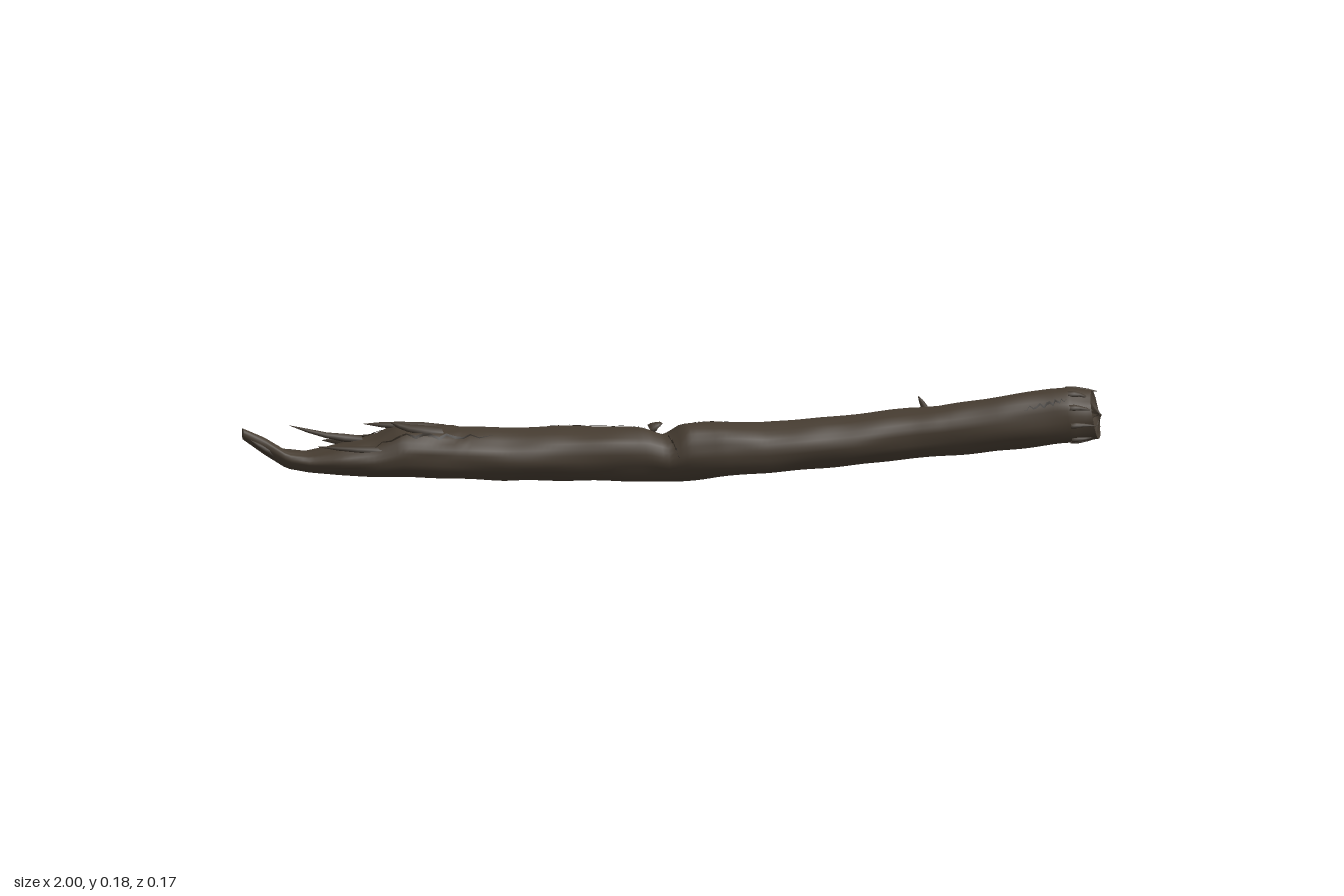
import * as THREE from 'three';

// Log stations along x: [x, bottom y, top y, back z, front z]
const STATIONS = [
  [-1.0, 0.165, 0.19, -0.005, 0.012], [-0.95, 0.125, 0.165, -0.02, 0.015],
  [-0.9, 0.092, 0.132, -0.015, 0.03], [-0.85, 0.08, 0.125, -0.035, 0.04],
  [-0.78, 0.07, 0.135, -0.055, 0.055], [-0.7, 0.06, 0.145, -0.082, 0.062],
  [-0.64, 0.053, 0.168, -0.085, 0.064], [-0.56, 0.046, 0.16, -0.085, 0.068],
  [-0.4, 0.03, 0.147, -0.08, 0.07], [-0.2, 0.018, 0.14, -0.073, 0.07],
  [-0.07, 0.011, 0.134, -0.057, 0.07], [-0.02, 0.008, 0.114, -0.054, 0.072],
  [0.02, 0.009, 0.138, -0.052, 0.079], [0.1, 0.012, 0.138, -0.052, 0.083],
  [0.2, 0.013, 0.126, -0.052, 0.083], [0.4, 0.018, 0.131, -0.054, 0.078],
  [0.55, 0.024, 0.138, -0.058, 0.07], [0.62, 0.027, 0.14, -0.048, 0.07],
  [0.75, 0.032, 0.155, -0.042, 0.075], [0.88, 0.037, 0.166, -0.036, 0.076],
  [0.94, 0.039, 0.165, -0.035, 0.077], [1.007, 0.044, 0.155, -0.037, 0.072],
];
const RINGS = 150, SIDES = 28;

function station(x) {
  let i = 0;
  while (i < STATIONS.length - 2 && STATIONS[i + 1][0] < x) i++;
  const a = STATIONS[i], b = STATIONS[i + 1];
  const t = THREE.MathUtils.clamp((x - a[0]) / (b[0] - a[0]), 0, 1);
  return a.map((v, k) => v + (b[k] - v) * t);
}

// Point on the bark; angle 0 is the top, PI / 2 the front
function surface(x, a, scale = 1, lift = 0) {
  const [, lo, hi, back, front] = station(x);
  const rough = 0.025 * Math.sin(3 * a + 9 * x) + 0.018 * Math.sin(5 * a - 17 * x)
    + 0.014 * Math.sin(2 * a + 41 * x) + 0.012 * Math.sin(9 * a + 6 * x);
  const torn = x < -0.5 ? 0.05 * Math.sin(11 * a + 30 * x) * Math.max(0, Math.cos(a)) : 0;
  const r = scale * (1 + rough + torn);
  const w = THREE.MathUtils.smoothstep(x, 0.85, 1);
  // the sawn end leans back towards the top and front
  const dx = -w * scale * (0.018 * (1 + Math.sin(a)) + 0.01 * (1 + Math.cos(a)));
  return new THREE.Vector3(
    x + dx,
    (lo + hi) / 2 + ((hi - lo) / 2 * r + lift) * Math.cos(a),
    (back + front) / 2 + ((front - back) / 2 * r + lift) * Math.sin(a));
}

function geometry(points, index) {
  const g = new THREE.BufferGeometry().setFromPoints(points);
  g.setIndex(index);
  g.computeVertexNormals();
  return g;
}

// Closed rings of points joined by quads
function loft(rings) {
  const n = rings[0].length, index = [];
  for (let i = 0; i < rings.length - 1; i++) {
    for (let j = 0; j < n; j++) {
      const k = (j + 1) % n, a = i * n, b = a + n;
      index.push(a + j, a + k, b + j, a + k, b + k, b + j);
    }
  }
  return geometry(rings.flat(), index);
}

function ring(x, scale = 1, push = 0) {
  return Array.from({ length: SIDES }, (_, j) => {
    const p = surface(x, j / SIDES * Math.PI * 2, scale);
    p.x += push * (1 + 0.5 * Math.sin(j * 1.9));
    return p;
  });
}

// Flattened, bent, pointed splinter
function shard(from, mid, to, wide, thick) {
  const curve = new THREE.CatmullRomCurve3([from, mid, to].map(p => new THREE.Vector3(...p)));
  const rings = [0, 0.25, 0.5, 0.75, 1].map((t, i) => {
    const c = curve.getPoint(t), dir = curve.getTangent(t);
    const side = new THREE.Vector3(0, 0, 1).cross(dir).normalize();
    const up = dir.clone().cross(side);
    const s = [1, 1.05, 0.75, 0.5, 0.04][i];
    return Array.from({ length: 6 }, (_, j) => {
      const a = j / 6 * Math.PI * 2;
      return c.clone().addScaledVector(side, Math.cos(a) * thick * s)
        .addScaledVector(up, Math.sin(a) * wide * s);
    });
  });
  return loft(rings);
}

// Thin dark ribbon that follows the bark
function crack(x0, x1, a0, a1, width) {
  const pts = [], index = [], n = 16;
  for (let i = 0; i <= n; i++) {
    const t = i / n, x = x0 + (x1 - x0) * t;
    const a = a0 + (a1 - a0) * t + 0.09 * Math.sin(i * 2.3);
    const w = width * Math.sin(Math.PI * t);
    pts.push(surface(x, a - w, 1, 0.0015), surface(x, a + w, 1, 0.0015));
    if (i < n) index.push(2 * i, 2 * i + 1, 2 * i + 2, 2 * i + 1, 2 * i + 3, 2 * i + 2);
  }
  return geometry(pts, index);
}

export function createModel() {
  const group = new THREE.Group();
  const bark = new THREE.MeshStandardMaterial({ color: 0x463c31 });
  const splinterWood = new THREE.MeshStandardMaterial({ color: 0x3f362c, side: THREE.DoubleSide });
  const endWood = new THREE.MeshStandardMaterial({ color: 0x433a30, side: THREE.DoubleSide });
  const crackDark = new THREE.MeshStandardMaterial({ color: 0x29231c, side: THREE.DoubleSide });
  const add = (name, geo, mat) => {
    const m = new THREE.Mesh(geo, mat);
    m.name = name;
    group.add(m);
  };

  // Trunk
  const x0 = -1, x1 = 1.007;
  add('trunk', loft(Array.from({ length: RINGS + 1 }, (_, i) => ring(x0 + (x1 - x0) * i / RINGS))), bark);

  // Uneven broken face at the thick end and small cap at the tip
  add('brokenEnd', loft([ring(x1), ring(x1, 0.8, -0.012), ring(x1, 0.45, -0.02), ring(x1, 0.01, -0.025)]), endWood);
  add('tipEnd', loft([ring(x0, 0.01), ring(x0)]), endWood);

  // Splinters at the torn end: from, mid, to, half width, half thickness
  const splinters = [
    [[-0.72, 0.14, -0.02], [-0.8, 0.155, -0.02], [-0.885, 0.182, -0.025], 0.014, 0.009],
    [[-0.58, 0.11, -0.07], [-0.7, 0.118, -0.076], [-0.795, 0.125, -0.084], 0.01, 0.022],
    [[-0.68, 0.1, -0.06], [-0.74, 0.105, -0.07], [-0.79, 0.105, -0.08], 0.012, 0.014],
    [[-0.54, 0.15, 0.0], [-0.62, 0.168, 0.005], [-0.66, 0.186, 0.012], 0.025, 0.012],
    [[-0.52, 0.145, -0.04], [-0.63, 0.163, -0.035], [-0.71, 0.172, -0.034], 0.02, 0.012],
    [[-0.64, 0.12, 0.035], [-0.74, 0.132, 0.035], [-0.83, 0.142, 0.025], 0.014, 0.01],
    [[-0.75, 0.1, 0.0], [-0.85, 0.115, -0.01], [-0.92, 0.13, -0.028], 0.014, 0.012],
    [[-0.9, 0.11, 0.01], [-0.95, 0.14, 0.012], [-0.985, 0.165, 0.018], 0.009, 0.01],
    [[-0.05, 0.125, -0.01], [-0.035, 0.132, -0.01], [-0.022, 0.138, -0.005], 0.02, 0.01],
  ];
  splinters.forEach((s, i) => add('splinter' + (i + 1), shard(...s), splinterWood));

  // Twig stub on the back
  add('twigStub', shard([0.6, 0.11, -0.04], [0.595, 0.128, -0.056], [0.585, 0.147, -0.064], 0.009, 0.009), splinterWood);

  // Jagged chips round the broken rim
  for (let i = 0; i < 9; i++) {
    const a = i / 9 * Math.PI * 2 + 0.3;
    const p = surface(0.93, a, 0.93), q = surface(0.975, a, 0.96), r = surface(1.0, a + 0.1, 0.92);
    r.x = Math.min(1, r.x + 0.008 * (i % 3));
    add('rimChip' + (i + 1), shard(p.toArray(), q.toArray(), r.toArray(), 0.012, 0.007), splinterWood);
  }

  // Cracks in the bark: start x, end x, start angle, end angle, half width
  const cracks = [
    [-0.72, -0.42, 0.7, 0.5, 0.06], [-0.66, -0.36, -0.5, -0.8, 0.06], [-0.82, -0.6, -1.0, -0.6, 0.09],
    [-0.3, -0.03, -0.5, -0.3, 0.05], [0.02, 0.3, -0.45, -0.75, 0.05], [-0.03, 0.0, -0.6, 1.5, 0.08],
    [0.56, 0.63, -0.7, -1.1, 0.08], [0.8, 0.93, 0.9, 0.7, 0.06],
  ];
  cracks.forEach((c, i) => add('barkCrack' + (i + 1), crack(...c), crackDark));
  return group;
}
